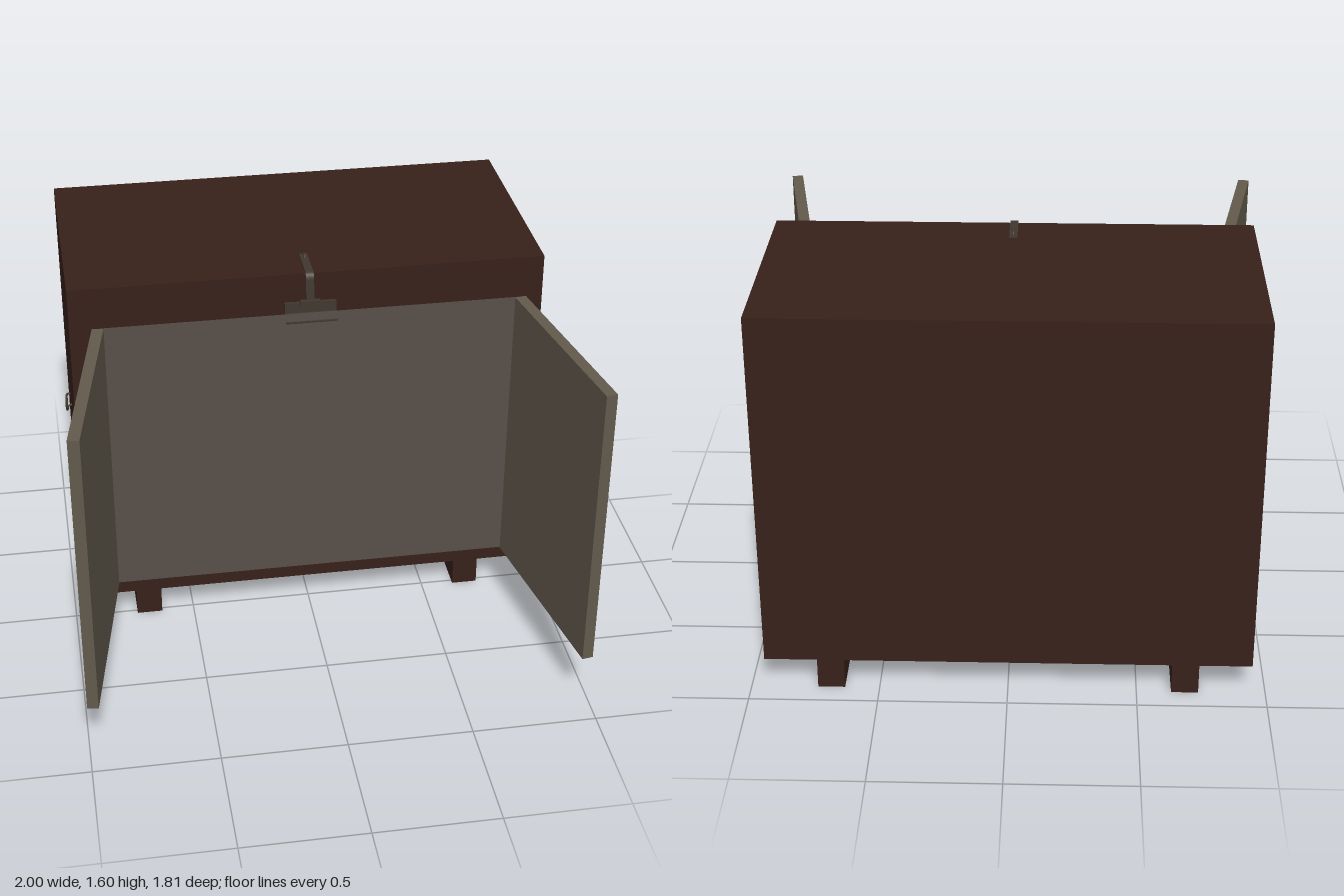
import * as THREE from 'three';

export function createModel() {
  const model = new THREE.Group();
  const wood = new THREE.MeshStandardMaterial({ color: 0x38211a });
  const board = new THREE.MeshStandardMaterial({ color: 0x625a4c });
  const panel = new THREE.MeshStandardMaterial({ color: 0x574f49, side: THREE.DoubleSide });
  const iron = new THREE.MeshStandardMaterial({ color: 0x40382f });

  function add(name, geometry, material, x = 0, y = 0, z = 0) {
    const mesh = new THREE.Mesh(geometry, material);
    mesh.name = name;
    mesh.position.set(x, y, z);
    model.add(mesh);
    return mesh;
  }
  const box = (name, w, h, d, material, x, y, z) =>
    add(name, new THREE.BoxGeometry(w, h, d), material, x, y, z);
  const rod = (name, points, radius) => {
    const curve = new THREE.CatmullRomCurve3(points.map((p) => new THREE.Vector3(...p)));
    return add(name, new THREE.TubeGeometry(curve, 20, radius, 6), iron);
  };

  // Cabinet and the panel standing just before its front
  box('cabinet', 1.89, 1.45, 0.94, wood, 0, 0.85, -0.44);
  add('frontPanel', new THREE.PlaneGeometry(1.66, 1.21), panel, 0, 0.835, 0.103);

  for (const s of [-1, 1]) {
    const side = s > 0 ? 'left' : 'right';

    // Skid and splayed door
    box(side + 'Skid', 0.105, 0.125, 0.93, wood, s * 0.6875, 0.0625, -0.445);
    const door = box(side + 'Door', 0.045, 1.21, 0.81, board, s * 0.907, 0.835, 0.502);
    door.rotation.y = s * THREE.MathUtils.degToRad(10);

    // Drooping carrying handle on the side
    rod(side + 'Handle', [
      [s * 0.945, 0.815, -0.395], [s * 0.962, 0.81, -0.39], [s * 0.965, 0.785, -0.405],
      [s * 0.967, 0.772, -0.44],
      [s * 0.965, 0.785, -0.475], [s * 0.962, 0.81, -0.49], [s * 0.945, 0.815, -0.485],
    ], 0.005);

    // Small front catch: plate and loop
    box(side + 'CatchPlate', 0.075, 0.014, 0.02, iron, s * 0.6, 1.043, 0.04);
    rod(side + 'CatchLoop', [
      [s * 0.62, 1.043, 0.045], [s * 0.65, 1.043, 0.052],
      [s * 0.69, 1.043, 0.048], [s * 0.697, 1.043, 0.03],
    ], 0.005);
  }

  // Hasp strap, bent over the top front edge
  const outline = new THREE.Shape();
  outline.moveTo(-0.13, 1.575);
  outline.lineTo(-0.13, 1.582);
  outline.lineTo(0.03, 1.584);
  outline.quadraticCurveTo(0.052, 1.582, 0.054, 1.55);
  outline.lineTo(0.062, 1.44);
  outline.lineTo(0.05, 1.36);
  outline.lineTo(0.044, 1.36);
  outline.lineTo(0.055, 1.44);
  outline.lineTo(0.046, 1.55);
  outline.quadraticCurveTo(0.044, 1.575, 0.03, 1.576);
  outline.closePath();
  const strap = new THREE.ExtrudeGeometry(outline, { depth: 0.032, bevelEnabled: false });
  strap.translate(0, 0, -0.016);
  strap.rotateY(-Math.PI / 2);
  add('haspStrap', strap, iron);

  // Hinge loop on top and staple on the front
  const loop = add('haspLoop', new THREE.TorusGeometry(0.016, 0.004, 6, 12, Math.PI), iron, 0, 1.579, -0.1);
  loop.rotation.y = Math.PI / 2;
  box('staple', 0.04, 0.02, 0.03, iron, 0, 1.4, 0.04);

  // Padlock: horizontal barrel with a plate rising behind it
  const barrel = add('lockBarrel', new THREE.CylinderGeometry(0.028, 0.028, 0.205, 16), iron, 0, 1.4, 0.076);
  barrel.rotation.z = Math.PI / 2;
  box('lockPlate', 0.205, 0.06, 0.014, iron, 0, 1.437, 0.063);
  box('lockCollar', 0.08, 0.014, 0.02, iron, 0, 1.465, 0.062);

  return model;
}
